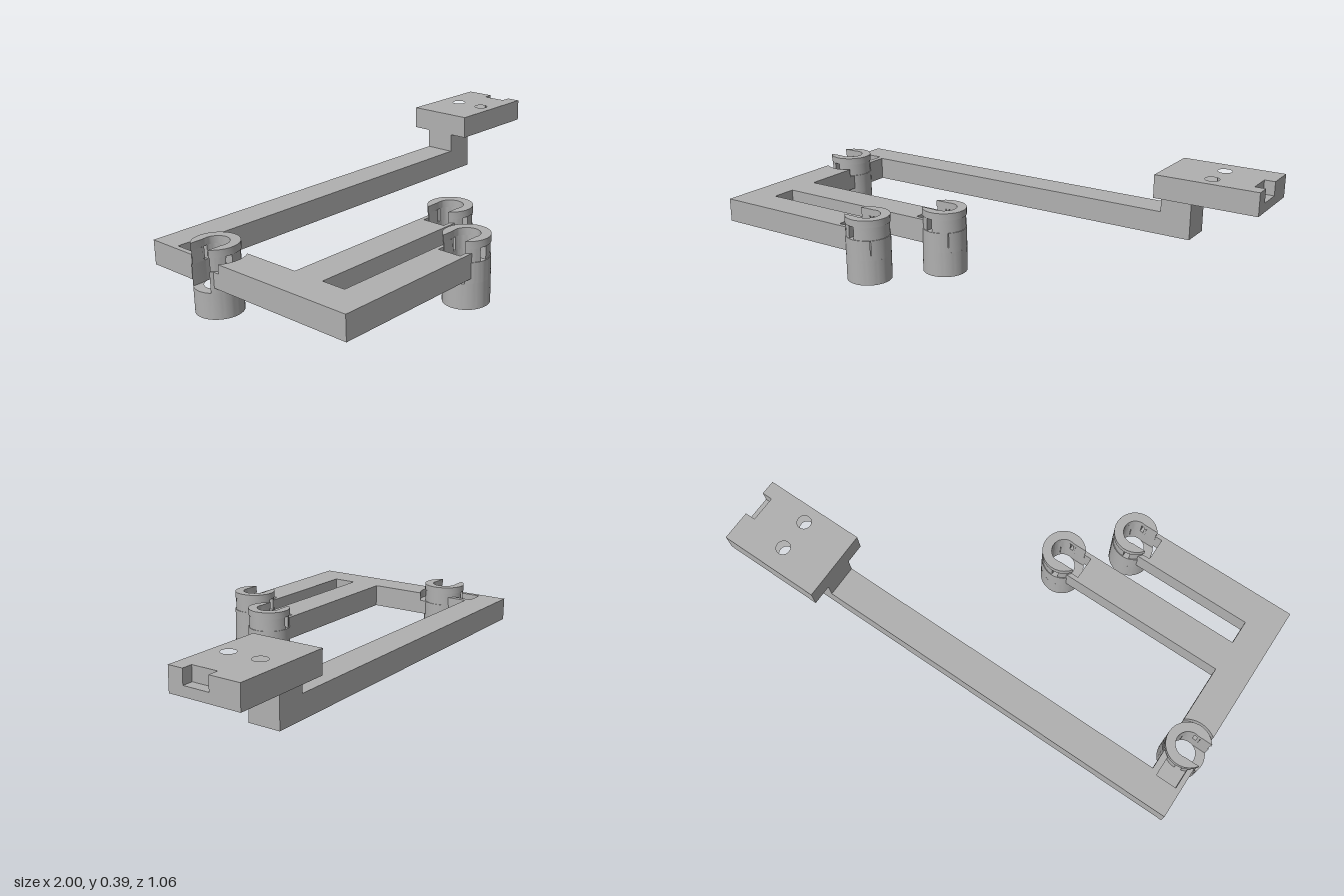
import * as THREE from 'three';
import { toCreasedNormals } from 'three/addons/utils/BufferGeometryUtils.js';

const RO = 0.0875, RI = 0.05, SLOT = 0.048, HALF = 0.065;
const LOW = 0.12, MID = 0.18, TOP = 0.215;

// Points on an arc in the ground plane, as [x, z]
function arc(cx, cz, r, a0, a1, n = 24) {
  const pts = [];
  for (let i = 0; i <= n; i++) {
    const a = a0 + (a1 - a0) * i / n;
    pts.push([cx + r * Math.cos(a), cz + r * Math.sin(a)]);
  }
  return pts;
}

// Upright prism from a plan outline, with optional round holes [x, z, r]
function prism(points, y0, y1, holes = []) {
  const shape = new THREE.Shape(points.map(([x, z]) => new THREE.Vector2(x, -z)));
  for (const [x, z, r] of holes) {
    shape.holes.push(new THREE.Path().absarc(x, -z, r, 0, Math.PI * 2, true));
  }
  const g = new THREE.ExtrudeGeometry(shape, { depth: y1 - y0, bevelEnabled: false, curveSegments: 48 });
  g.rotateX(-Math.PI / 2).translate(0, y0, 0);
  return toCreasedNormals(g, 0.5);
}

const rect = (x0, x1, z0, z1) => [[x0, z0], [x1, z0], [x1, z1], [x0, z1]];

// Forked end of an arm that grips a tube centred at (cx, cz)
function fork(cx, cz) {
  const r = RO - 0.002;
  const xa = cx - Math.sqrt(r * r - HALF * HALF), xb = cx - Math.sqrt(r * r - SLOT * SLOT);
  return [[xa, cz - HALF], [xb, cz - SLOT], [cx - 0.1, cz - SLOT],
    [cx - 0.1, cz + SLOT], [xb, cz + SLOT], [xa, cz + HALF]];
}

export function createModel() {
  const model = new THREE.Group();
  const grey = new THREE.MeshStandardMaterial({ color: 0xb0b0b0 });
  grey.name = 'grey plastic';
  const add = (parent, name, geometry) => {
    const mesh = new THREE.Mesh(geometry, grey);
    mesh.name = name;
    parent.add(mesh);
  };

  // Tube sockets: closed foot, slotted wall, windowed neck and rim
  const tubes = [[-0.91, -0.18], [-0.095, 0.21], [-0.29, 0.44]];
  const rad = d => d * Math.PI / 180;
  // Wall between two angles; the slot on -x has parallel sides
  const wall = (a0, a1, b0, b1, r, y0, y1) => prism(
    [...arc(0, 0, r, a0, a1), ...arc(0, 0, RI, b1, b0)], y0, y1);
  for (const [x, z] of tubes) {
    const tube = new THREE.Group();
    tube.name = 'tubeSocket';
    tube.position.set(x, 0, z);
    add(tube, 'tubeFoot', prism(arc(0, 0, RO, 0, Math.PI * 2 * 63 / 64, 63), 0, 0.1, [[0, 0, RI]]));
    const lip = r => Math.PI - Math.asin(SLOT / r);
    const inner = lip(RI);
    // Wall with a narrow slit on one diagonal
    add(tube, 'tubeWall', wall(-lip(RO), rad(44), -inner, rad(44), RO, 0.1, MID));
    add(tube, 'tubeWall', wall(rad(46), lip(RO), rad(46), inner, RO, 0.1, MID));
    add(tube, 'slitFloor', wall(rad(43), rad(47), rad(43), rad(47), RO, 0.1, LOW));
    // Neck: only the outer corner beside each window remains
    const rn = RO - 0.003;
    add(tube, 'tubeNeck', wall(rad(-90), rad(90), rad(-90), rad(90), rn, MID, 0.232));
    for (const s of [-1, 1]) {
      const p = [[-0.025, s * Math.sqrt(RI * RI - 0.025 ** 2)], [-0.025, s * Math.sqrt(rn * rn - 0.025 ** 2)],
        ...arc(0, 0, rn, s * rad(109), s * lip(rn), 8), ...arc(0, 0, RI, s * inner, s * rad(121), 8)];
      add(tube, 'tubeNeckSide', prism(p, MID, 0.232));
    }
    add(tube, 'tubeRim', wall(-lip(RO), lip(RO), -inner, inner, RO, 0.232, 0.26));
    model.add(tube);
  }

  // Frame, in two layers so the upper one can leave room around the rear tube
  const [cx, cz] = tubes[0], L = cx - HALF, R = cx + HALF, r = RO - 0.002;
  const endArc = (radius, s) => {
    const a = Math.acos(HALF / radius);
    return s > 0 ? arc(cx, cz, radius, Math.PI - a, a) : arc(cx, cz, radius, -a, -Math.PI + a);
  };
  const rear = [[L, -0.45], [0.705, -0.45], [0.705, -0.32], [R, -0.32]];
  const pocket = [[R, -0.235], [-0.87, -0.255], [-0.87, -0.335], [-0.955, -0.335], [-0.955, -0.252], [L, -0.235]];
  const front = [[R, 0.145], ...fork(...tubes[1]), [R, 0.275], [R, 0.375], ...fork(...tubes[2]), [L, 0.505]];
  add(model, 'rearBar', prism([...rear, ...endArc(r, -1)], LOW, MID));
  add(model, 'rearBarTop', prism([...rear, ...pocket], MID, TOP));
  add(model, 'frontArms', prism([...endArc(r, 1), ...front], LOW, MID));
  add(model, 'frontArmsTop', prism([...endArc(0.108, 1), ...front], MID, TOP));

  // Riser and mounting plate with two screw holes and an end notch
  add(model, 'riser', prism(rect(0.578, 0.705, -0.45, -0.32), TOP, 0.294));
  const holes = [[0.788, -0.438, 0.028], [0.788, -0.308, 0.028]];
  add(model, 'mountingPlate', prism(rect(0.578, 1, -0.53, -0.242), 0.294, 0.332, holes));
  add(model, 'mountingPlateTop', prism([[0.578, -0.53], [1, -0.53], [1, -0.407], [0.957, -0.407],
    [0.957, -0.302], [1, -0.302], [1, -0.242], [0.578, -0.242]], 0.332, 0.388, holes));
  return model;
}
